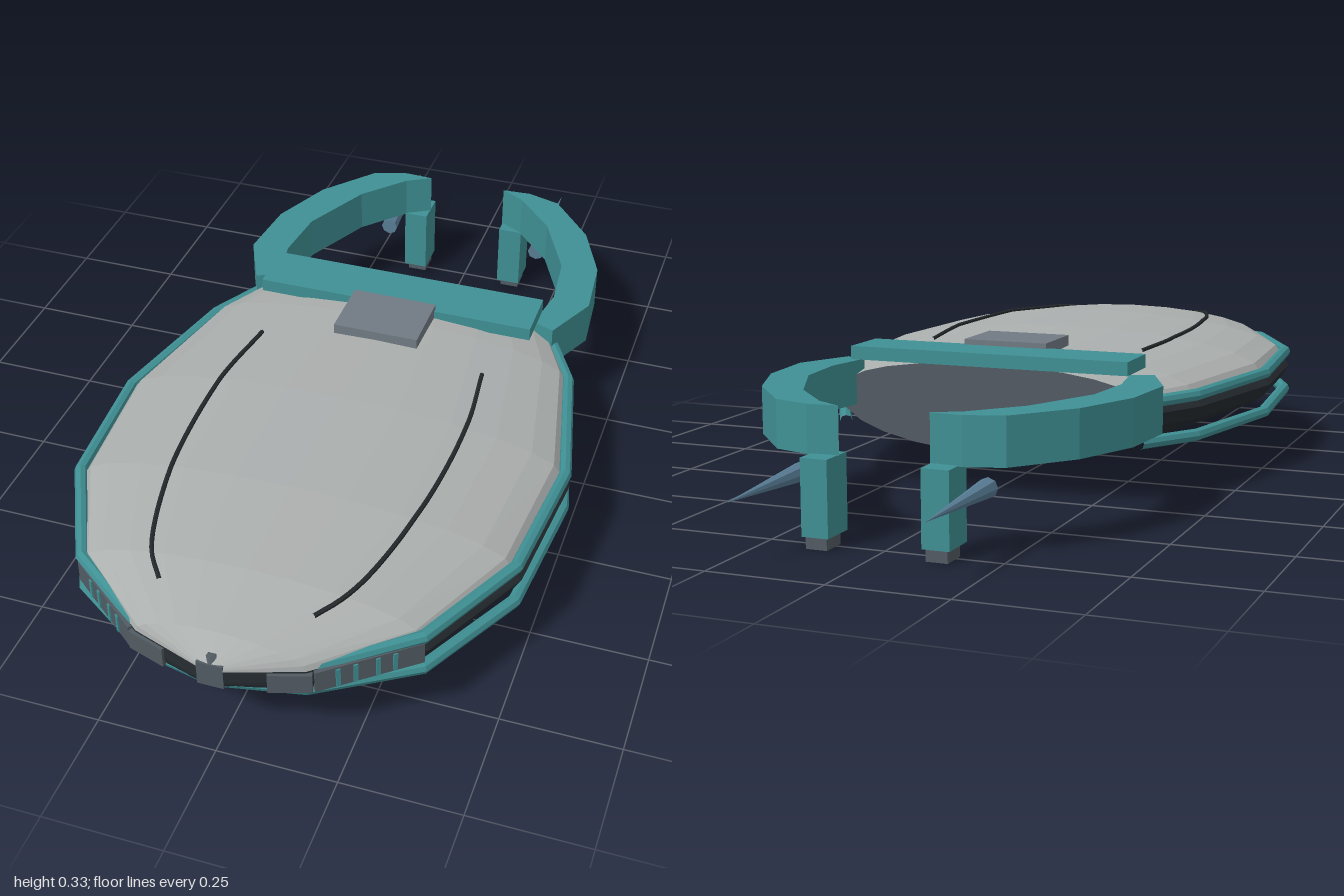
import * as THREE from 'three';

const mat = (name, color, extra = {}) => {
  const m = new THREE.MeshStandardMaterial({ color, flatShading: true, ...extra });
  m.name = name;
  return m;
};

// Hull stations, back to front: z, half width, top y, bottom y, upper rail y, lower rail y
const STATIONS = [
  [-0.23, 0.36, 0.29, 0.09, 0.225, 0.14],
  [-0.08, 0.44, 0.302, 0.087, 0.225, 0.136],
  [0.25, 0.512, 0.315, 0.084, 0.228, 0.136],
  [0.56, 0.487, 0.315, 0.09, 0.234, 0.14],
  [0.8, 0.368, 0.302, 0.106, 0.232, 0.15],
  [0.95, 0.18, 0.275, 0.14, 0.222, 0.168],
  [1.0, 0.025, 0.236, 0.184, 0.21, 0.19],
];
const RIM_LOW = 0.2, RIM_HIGH = 0.226, INSET = 0.96;

// Skin between equally long rings of [x, y, z]
function loft(rings, closed = false) {
  const n = rings[0].length, index = [];
  for (let i = 0; i < rings.length - 1; i++) {
    for (let j = 0; j < (closed ? n : n - 1); j++) {
      const k = (j + 1) % n;
      const a = i * n + j, d = i * n + k, b = a + n, c = d + n;
      index.push(a, d, c, a, c, b);
    }
  }
  const g = new THREE.BufferGeometry();
  g.setAttribute('position', new THREE.Float32BufferAttribute(rings.flat(2), 3));
  g.setIndex(index);
  g.computeVertexNormals();
  return g;
}

// Half-ellipse from start angle, over the top or under the belly
function arc(z, w, rim, height, start, n = 12) {
  return Array.from({ length: n + 1 }, (_, j) => {
    const t = start + (Math.PI * j) / n;
    return [w * Math.cos(t), rim + height * Math.sin(t), z];
  });
}

// Round rail that follows the hull outline from one side round the nose
function railGeometry(column, r = 0.014) {
  const half = STATIONS.map((s) => new THREE.Vector3(s[1] - 0.012, s[column], s[0] - (s[0] > 0.9 ? r : 0)));
  const path = [...half, ...half.map((p) => new THREE.Vector3(-p.x, p.y, p.z)).reverse()];
  return loft(path.map((p, i) => {
    const t = path[Math.min(i + 1, path.length - 1)].clone().sub(path[Math.max(i - 1, 0)]).setY(0).normalize();
    return Array.from({ length: 8 }, (_, j) => {
      const a = (j * Math.PI) / 4, c = r * Math.cos(a);
      return [p.x + t.z * c, p.y + r * Math.sin(a), p.z - t.x * c];
    });
  }), true);
}

// Height of the upper shell at (x, z)
function shellY(x, z) {
  let i = 0;
  while (i < STATIONS.length - 2 && STATIONS[i + 1][0] < z) i++;
  const [a, b] = [STATIONS[i], STATIONS[i + 1]], f = (z - a[0]) / (b[0] - a[0]);
  const w = INSET * THREE.MathUtils.lerp(a[1], b[1], f), top = THREE.MathUtils.lerp(a[2], b[2], f);
  return RIM_HIGH + (top - RIM_HIGH) * Math.sqrt(Math.max(0, 1 - (x / w) ** 2));
}

export function createModel() {
  const model = new THREE.Group();
  model.name = 'craft';
  const shellGrey = mat('shell grey', 0xabafae, { side: THREE.DoubleSide });
  const bellyDark = mat('belly dark', 0x262c31, { side: THREE.DoubleSide });
  const teal = mat('teal', 0x3f9094);
  const slate = mat('slate', 0x525b63);
  const hatchGrey = mat('hatch grey', 0x717b83);
  const steelBlue = mat('steel blue', 0x587c94);
  const lineBlack = mat('line black', 0x24282a);

  const add = (name, geometry, material, x = 0, y = 0, z = 0, parent = model) => {
    const m = new THREE.Mesh(geometry, material);
    m.name = name;
    m.position.set(x, y, z);
    parent.add(m);
    return m;
  };
  const box = (name, material, w, h, d, x, y, z, parent) =>
    add(name, new THREE.BoxGeometry(w, h, d), material, x, y, z, parent);

  // Hull shells
  const upper = STATIONS.map(([z, w, top]) => arc(z, w * INSET, RIM_HIGH, top - RIM_HIGH, 0));
  const lower = STATIONS.map(([z, w, , bottom]) => arc(z, w, RIM_LOW, RIM_LOW - bottom, Math.PI));
  add('upperShell', loft(upper), shellGrey);
  add('lowerShell', loft(lower), bellyDark);

  // Dark waist joining the shells
  for (const s of [1, -1]) {
    const rings = STATIONS.map(([z, w]) => {
      const pair = [[s * w, RIM_LOW, z], [s * w * INSET, RIM_HIGH, z]];
      return s > 0 ? pair : pair.reverse();
    });
    add('waistBand', loft(rings), bellyDark);
  }

  // Flat stern plate
  const sternOutline = [...upper[0], ...lower[0]].map(([x, y]) => new THREE.Vector2(x, y));
  add('sternPlate', new THREE.ShapeGeometry(new THREE.Shape(sternOutline)), slate, 0, 0, -0.23).rotation.y = Math.PI;

  // Rails and nose block
  add('upperRail', railGeometry(4), teal);
  add('lowerRail', railGeometry(5), teal);
  box('noseBlock', slate, 0.054, 0.056, 0.03, 0, 0.21, 0.985);
  add('noseKnob', new THREE.CylinderGeometry(0.009, 0.02, 0.014, 6), slate, 0, 0.244, 0.98);

  // Bridge bar and hatch on the back
  box('bridgeBar', teal, 0.65, 0.03, 0.125, 0, 0.3, -0.1825);
  box('hatch', hatchGrey, 0.196, 0.03, 0.147, 0, 0.312, -0.058);

  const armOutline = [
    [0.365, -0.18], [0.422, -0.305], [0.408, -0.46], [0.347, -0.605], [0.245, -0.728], [0.165, -0.752],
    [0.097, -0.748], [0.155, -0.715], [0.245, -0.615], [0.322, -0.45], [0.335, -0.315], [0.315, -0.2],
  ];
  const seam = [[0.26, 0.05], [0.28, 0.25], [0.262, 0.56], [0.205, 0.79], [0.158, 0.86]];

  for (const s of [1, -1]) {
    // Curved rear arm
    const arm = new THREE.ExtrudeGeometry(
      new THREE.Shape(armOutline.map(([x, z]) => new THREE.Vector2(s * x, z))), { depth: 0.1, bevelEnabled: false });
    add('rearArm', arm.rotateX(Math.PI / 2), teal, 0, 0.28, 0);

    // Hanging leg, foot and spike
    box('leg', teal, 0.058, 0.157, 0.083, s * 0.128, 0.1035, -0.755);
    box('foot', slate, 0.046, 0.026, 0.058, s * 0.128, 0.013, -0.762);
    const spike = add('spike', new THREE.ConeGeometry(0.021, 0.29, 8), steelBlue, s * 0.2, 0.134, -0.855);
    spike.rotation.x = -Math.PI / 2;

    // Dark seam on the shell
    const flat = new THREE.CatmullRomCurve3(seam.map(([x, z]) => new THREE.Vector3(s * x, 0, z)));
    const onShell = flat.getPoints(24).map((p) => p.setY(shellY(p.x, p.z) + 0.002));
    add('shellSeam', new THREE.TubeGeometry(new THREE.CatmullRomCurve3(onShell), 40, 0.005, 6), lineBlack);

    // Front window panels with teal bars
    const panel = new THREE.Group();
    panel.name = 'windowPanel';
    panel.position.set(s * 0.267, 0.2, 0.867);
    panel.rotation.y = s * Math.atan2(0.15, 0.188);
    model.add(panel);
    box('window', slate, 0.22, 0.05, 0.03, 0, 0, 0, panel);
    for (const x of [-0.065, -0.03, 0.015, 0.05]) box('windowBar', teal, 0.009, 0.042, 0.008, s * x, 0, 0.014, panel);
    const inner = box('innerWindow', slate, 0.085, 0.045, 0.03, s * 0.142, 0.2, 0.952);
    inner.rotation.y = s * Math.atan2(0.05, 0.155);
  }
  return model;
}
